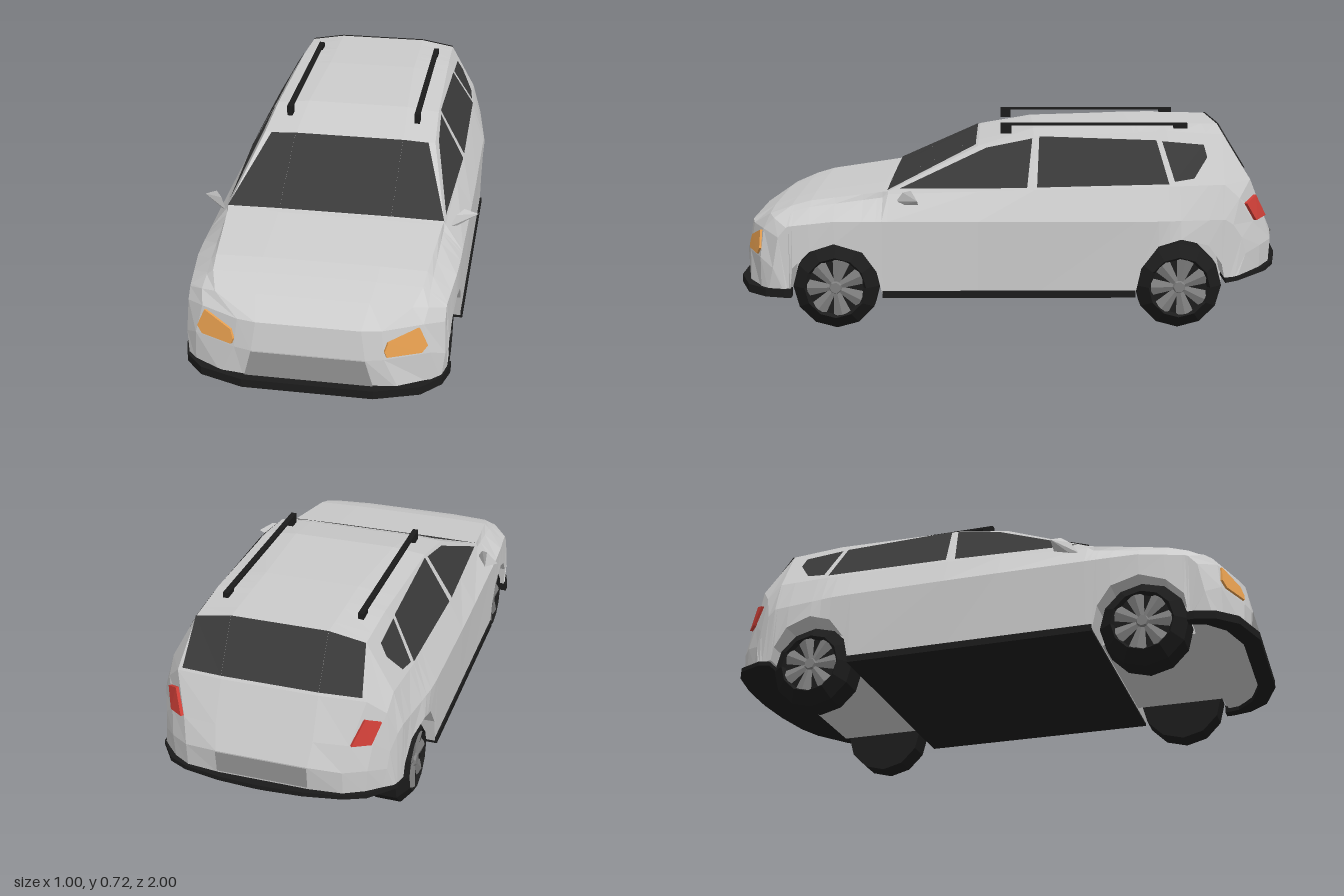
import * as THREE from 'three';
import { ConvexGeometry } from 'three/addons/geometries/ConvexGeometry.js';

const paint = (color) => new THREE.MeshStandardMaterial({ color, flatShading: true, side: THREE.DoubleSide });
const V = (x, y, z) => new THREE.Vector3(x, y, z);

// Piecewise linear curve through [z, value] pairs, z falling
function curve(z, keys) {
  if (z >= keys[0][0]) return keys[0][1];
  for (let i = 1; i < keys.length; i++) {
    const [z0, a] = keys[i - 1], [z1, b] = keys[i];
    if (z >= z1) return a + (b - a) * (z0 - z) / (z0 - z1);
  }
  return keys[keys.length - 1][1];
}

// Lean and taper of the cabin side
const sideX = (z, y) => 0.412 - (y - 0.5) * 0.56 - Math.max(0, z + 0.08) * 0.05 - Math.max(0, -0.56 - z) * 0.05;

// Lower body edge with both wheel arches
const ARCH = [[0.79, 0.15], [0.78, 0.23], [0.72, 0.29], [0.63, 0.32], [0.53, 0.29], [0.48, 0.22], [0.46, 0.135],
  [-0.44, 0.135], [-0.46, 0.23], [-0.52, 0.31], [-0.6, 0.335], [-0.7, 0.31], [-0.75, 0.24], [-0.76, 0.19]];

// Half section of the body at z: sill, waist, shoulder, roof edge, roof
function section(z) {
  const hood = curve(z, [[0.79, 0.44], [0.72, 0.46], [0.44, 0.498]]);
  const waist = V(curve(z, [[0.79, 0.435], [0.6, 0.455], [0, 0.462], [-0.5, 0.46], [-0.76, 0.425]]),
    curve(z, [[0.79, 0.38], [0.63, 0.4]]), z);
  const sill = V(curve(z, [[0.79, 0.445], [0.6, 0.458], [-0.6, 0.458], [-0.76, 0.43]]), curve(z, ARCH), z);
  if (z > 0.44) {
    const t = (0.79 - z) / 0.35;
    return [sill, waist, V(0.378 + 0.01 * t, hood - 0.02, z), V(0.355 + 0.03 * t, hood, z), V(0.2, hood + 0.004, z)];
  }
  const belt = curve(z, [[0.44, 0.488], [-0.08, 0.505], [-0.76, 0.52]]);
  const edge = curve(z, [[0.44, 0.498], [0.12, 0.65], [-0.08, 0.685], [-0.56, 0.7], [-0.76, 0.688]]);
  const roof = curve(z, [[0.44, 0.501], [0.12, 0.656], [-0.08, 0.698], [-0.44, 0.714], [-0.76, 0.71]]);
  return [sill, waist, V(sideX(z, belt), belt, z), V(sideX(z, edge), edge, z),
    V(curve(z, [[0.12, 0.2], [-0.44, 0.17]]), roof, z)];
}

// Nose rings run from bumper up to hood, tail rings from rear window down to bumper
const NOSE = [
  [[0.445, 0.14, 0.81], [0.43, 0.14, 0.87], [0.4, 0.14, 0.9], [0.3, 0.14, 0.955], [0.22, 0.14, 0.965]],
  [[0.445, 0.15, 0.805], [0.44, 0.23, 0.85], [0.395, 0.26, 0.9], [0.25, 0.255, 0.96], [0.19, 0.255, 0.975]],
  [[0.44, 0.15, 0.8], [0.435, 0.34, 0.83], [0.37, 0.36, 0.89], [0.24, 0.355, 0.945], [0.175, 0.357, 0.96]],
  [[0.44, 0.15, 0.795], [0.435, 0.375, 0.8], [0.38, 0.4, 0.85], [0.33, 0.408, 0.87], [0.19, 0.412, 0.875]],
];
const TAIL = [
  [[0.425, 0.19, -0.78], [0.415, 0.38, -0.79], [0.385, 0.47, -0.815], [0.33, 0.53, -0.86], [0.17, 0.53, -0.872]],
  [[0.42, 0.19, -0.8], [0.4, 0.33, -0.825], [0.355, 0.38, -0.87], [0.29, 0.39, -0.92], [0.17, 0.39, -0.935]],
  [[0.418, 0.19, -0.81], [0.395, 0.27, -0.84], [0.345, 0.29, -0.9], [0.275, 0.3, -0.95], [0.16, 0.31, -0.97]],
  [[0.415, 0.19, -0.82], [0.385, 0.2, -0.85], [0.34, 0.2, -0.9], [0.275, 0.21, -0.945], [0.16, 0.215, -0.96]],
];
const MID = [0.79, 0.78, 0.72, 0.63, 0.53, 0.48, 0.46, 0.44, 0.12, -0.08, -0.44, -0.46, -0.52, -0.56, -0.6, -0.7, -0.75, -0.76];

const flip = (p) => V(-p.x, p.y, p.z);
const toPoints = (ring) => ring.map((p) => V(...p));
const RINGS = [...NOSE.map(toPoints), ...MID.map(section), ...TAIL.map(toPoints)]
  .map((half) => [...half, ...half.map(flip).reverse()]);

export function createModel() {
  const car = new THREE.Group();
  const body = paint(0xcccccc), glass = paint(0x3a3a3a), black = paint(0x1c1c1c);
  const amber = paint(0xe8a050), red = paint(0xd04038), shade = paint(0x999999), alloy = paint(0x808080);

  function add(name, geometry, material, parent = car) {
    const mesh = new THREE.Mesh(geometry, material);
    mesh.name = name;
    parent.add(mesh);
    return mesh;
  }
  function fromTriangles(points) {
    const g = new THREE.BufferGeometry().setFromPoints(points);
    g.computeVertexNormals();
    return g;
  }
  // Flat panel lifted slightly off the body
  function panel(name, pts, material) {
    const n = pts[1].clone().sub(pts[0]).cross(pts[2].clone().sub(pts[0])).normalize().multiplyScalar(0.005);
    const p = pts.map((q) => q.clone().add(n)), tris = [];
    for (let i = 2; i < p.length; i++) tris.push(p[0], p[i - 1], p[i]);
    add(name, fromTriangles(tris), material);
  }
  // Point on one cell of the body skin
  function onCell(s, c, u, v) {
    const A = RINGS[s][c], B = RINGS[s + 1][c], C = RINGS[s][c + 1], D = RINGS[s + 1][c + 1];
    const [P, k, l] = u >= v ? [B, u, v] : [C, v, u];
    return A.clone().addScaledVector(P.clone().sub(A), k).addScaledVector(D.clone().sub(P), l);
  }
  const patch = (name, s, c, uvs, material) => panel(name, uvs.map(([u, v]) => onCell(s, c, u, v)), material);

  // Body skin, including the wheel wells underneath
  const skin = [];
  for (let s = 0; s < RINGS.length - 1; s++) {
    const a = RINGS[s], b = RINGS[s + 1];
    for (let c = 0; c < 10; c++) {
      const d = (c + 1) % 10;
      skin.push(a[c], b[c], b[d], a[c], b[d], a[d]);
    }
  }
  add('body', fromTriangles(skin), body);

  // Windscreen and rear window, inset at the pillars by one amount per edge
  const screen = NOSE.length + MID.indexOf(0.44), rear = RINGS.length - 5;
  for (const [name, s, u0, u1, in0, in1] of [['windscreen', screen, 0, 0.98, 0, 0.22], ['rearWindow', rear, 0, 0.95, 0, 0.1]]) {
    patch(name, s, 3, [[u0, in0], [u1, in1], [u1, 1], [u0, 1]], glass);
    patch(name, s, 4, [[u0, 0], [u1, 0], [u1, 1], [u0, 1]], glass);
    patch(name, s, 5, [[u0, 0], [u1, 0], [u1, 1 - in1], [u0, 1 - in0]], glass);
  }

  // Side windows as [z, y] outlines
  const windows = {
    frontWindow: [[0.4, 0.505], [-0.055, 0.51], [-0.075, 0.675], [0.09, 0.643]],
    rearDoorWindow: [[-0.09, 0.512], [-0.56, 0.522], [-0.52, 0.668], [-0.1, 0.682]],
    quarterWindow: [[-0.58, 0.53], [-0.65, 0.54], [-0.7, 0.61], [-0.69, 0.652], [-0.54, 0.665]],
  };
  for (const [name, outline] of Object.entries(windows)) {
    const pts = outline.map(([z, y]) => V(sideX(z, y), y, z));
    panel(name + 'Left', pts, glass);
    panel(name + 'Right', pts.map(flip).reverse(), glass);
  }

  // Lamps as thin solids standing a little proud of the body corners
  function lamp(name, s, uvs, out, material) {
    const pts = uvs.flatMap(([u, v]) => [-1.5, 1].map((k) => onCell(s, 2, u, v).addScaledVector(out, k)));
    add(name + 'Left', new ConvexGeometry(pts), material);
    add(name + 'Right', new ConvexGeometry(pts.map(flip)), material);
  }
  lamp('headlamp', 1, [[0.08, 0.2], [0.3, 0.03], [0.93, 0.12], [0.6, 0.9], [0.3, 0.99], [0.1, 0.95]], V(0.004, 0.001, 0.007), amber);
  lamp('tailLamp', rear + 1, [[0.25, 0.12], [0.98, 0.12], [0.98, 0.98], [0.35, 0.85]], V(0.007, 0.001, -0.009), red);

  // Grille and tailgate recess
  patch('grille', 0, 4, [[0.1, 0], [1, 0], [1, 1], [0.1, 1]], shade);
  patch('tailgateRecess', rear + 3, 4, [[0, 0], [0.85, 0], [0.85, 1], [0, 1]], shade);

  // Level plates drawn from half outlines [x, z]
  function plate(name, half, y, height, material) {
    const pts = [...half, ...half.map(([x, z]) => [-x, z]).reverse()];
    const g = new THREE.ExtrudeGeometry(new THREE.Shape(pts.map(([x, z]) => new THREE.Vector2(x, -z))),
      { depth: height, bevelEnabled: false });
    g.rotateX(-Math.PI / 2).translate(0, y, 0);
    return add(name, g, material);
  }
  plate('frontBumperLip', [[0.2, 0.94], [0.33, 0.9], [0.4, 0.84], [0.415, 0.785], [0.455, 0.785], [0.455, 0.81],
    [0.435, 0.88], [0.37, 0.95], [0.22, 1]], 0.125, 0.03, black);
  const lip = plate('rearBumperLip', [[0.43, -0.765], [0.425, -0.81], [0.35, -0.92], [0.28, -0.96], [0.15, -0.99], [0.02, -1]],
    0.17, 0.016, black);
  const pos = lip.geometry.attributes.position;
  for (let i = 0; i < pos.count; i++) pos.setY(i, pos.getY(i) + (-0.765 - pos.getZ(i)) * 0.17);
  lip.geometry.computeVertexNormals();
  add('floor', new THREE.BoxGeometry(0.93, 0.025, 0.9), black).position.set(0, 0.138, 0.01);

  // Underbody between the wheels, closing the wells
  plate('frontUnderbody', [[0.305, 0.45], [0.305, 0.79], [0.42, 0.8], [0.405, 0.84], [0.325, 0.9], [0.2, 0.945]], 0.14, 0.17, body);
  plate('rearUnderbody', [[0.305, -0.43], [0.305, -0.77]], 0.15, 0.17, body);

  // Wheels
  const tyreProfile = [[0, 0.31], [0.155, 0.31], [0.155, 0.4], [0.11, 0.438], [0.1, 0.424], [0, 0.42]]
    .map(([r, x]) => new THREE.Vector2(r, x));
  for (const side of [1, -1]) {
    for (const [name, z] of [['front', 0.63], ['rear', -0.6]]) {
      const wheel = new THREE.Group();
      wheel.name = name + (side > 0 ? 'WheelLeft' : 'WheelRight');
      add('tyre', new THREE.LatheGeometry(tyreProfile, 12), black, wheel);
      const hub = add('hub', new THREE.CylinderGeometry(0.02, 0.028, 0.016, 7), alloy, wheel);
      hub.position.y = 0.427;
      for (let i = 0; i < 7; i++) {
        const spoke = new THREE.CylinderGeometry(0.032, 0.01, 0.09, 4);
        spoke.scale(1, 1, 0.35).rotateX(Math.PI / 2).translate(0, 0.424, 0.056).rotateY(i * Math.PI * 2 / 7);
        add('spoke', spoke, alloy, wheel);
      }
      wheel.rotation.z = -side * Math.PI / 2;
      wheel.position.set(0, 0.155, z);
      car.add(wheel);
    }

    // Door mirror
    const mirror = [[0.405, 0.465, 0.41], [0.43, 0.457, 0.38], [0.45, 0.46, 0.33], [0.45, 0.511, 0.355], [0.5, 0.482, 0.33], [0.425, 0.5, 0.385]];
    add(side > 0 ? 'mirrorLeft' : 'mirrorRight', new ConvexGeometry(mirror.map(([x, y, z]) => V(side * x, y, z))), body);

    // Roof rail with feet
    const rail = new THREE.Group();
    rail.name = side > 0 ? 'roofRailLeft' : 'roofRailRight';
    for (const [part, h, l, y, z] of [['bar', 0.008, 0.68, 0.719, -0.3], ['foot', 0.035, 0.04, 0.703, 0.02], ['foot', 0.025, 0.05, 0.71, -0.615]]) {
      add(part, new THREE.BoxGeometry(0.02, h, l), black, rail).position.set(side * 0.24, y, z);
    }
    car.add(rail);
  }
  return car;
}
